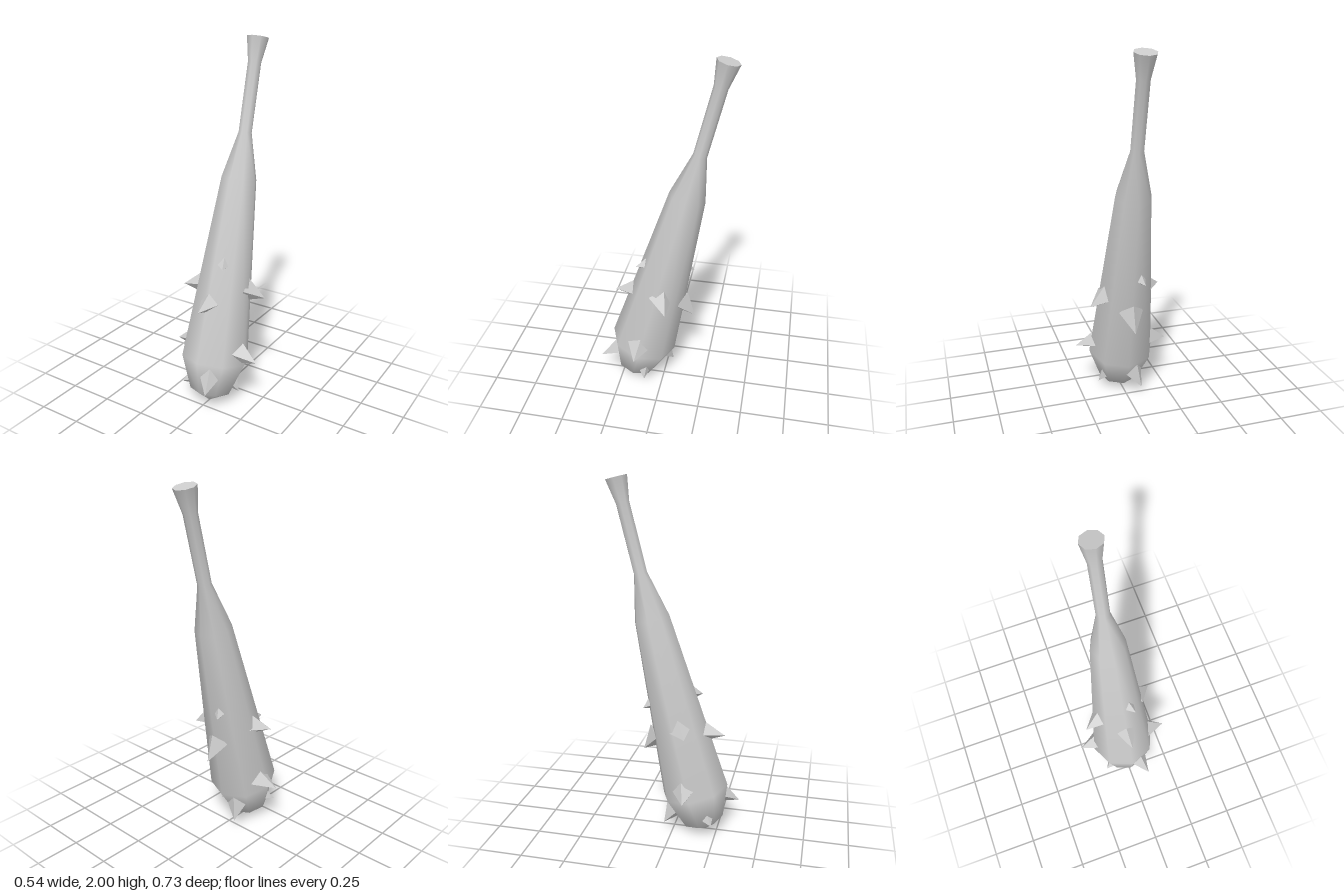
import * as THREE from 'three';

const TILT = -0.2435; // the club leans back
const material = new THREE.MeshStandardMaterial({ color: 0xcccccc });
const flatMaterial = new THREE.MeshStandardMaterial({ color: 0xcccccc, flatShading: true });
const clubAxis = new THREE.Vector3(0, 1, 0).applyAxisAngle(new THREE.Vector3(1, 0, 0), TILT);

// Four-sided spike; its base is sunk below the surface and its corners follow the club
function makeSpike(base, tip, radius) {
  const foot = new THREE.Vector3(...base);
  const point = new THREE.Vector3(...tip);
  const dir = point.clone().sub(foot);
  const length = dir.length();
  dir.normalize();
  const sink = 0.03;
  const height = length + sink;
  const geometry = new THREE.ConeGeometry(radius * height / length, height, 4);
  geometry.translate(0, -height / 2, 0); // apex at the origin
  const side = new THREE.Vector3().crossVectors(dir, clubAxis).normalize();
  const along = new THREE.Vector3().crossVectors(side, dir);
  const mesh = new THREE.Mesh(geometry, flatMaterial);
  mesh.quaternion.setFromRotationMatrix(new THREE.Matrix4().makeBasis(side, dir, along));
  mesh.position.copy(point);
  mesh.name = 'spike';
  return mesh;
}

export function createModel() {
  const model = new THREE.Group();
  model.name = 'spikedClub';

  // Eight-sided body, tapering from the heavy head to the grip and flared pommel
  const club = new THREE.Group();
  club.name = 'club';
  const profile = [
    [0, 0], [0.12, 0.07], [0.191, 0.262], [0.099, 1.287],
    [0.037, 1.538], [0.037, 1.913], [0.061, 2.045],
  ].map(([r, y]) => new THREE.Vector2(r, y));
  const body = new THREE.Mesh(new THREE.LatheGeometry(profile, 8), material);
  body.name = 'body';
  const cap = new THREE.Mesh(new THREE.CircleGeometry(0.061, 8).rotateX(-Math.PI / 2), material);
  cap.position.y = 2.045;
  cap.name = 'pommelCap';
  club.add(body, cap);
  club.rotation.x = TILT;
  club.position.z = 0.185;
  model.add(club);

  // Spikes: base centre, tip, base radius
  const spikes = new THREE.Group();
  spikes.name = 'spikes';
  [
    // front
    [[0, 0.615, 0.175], [0, 0.6, 0.287], 0.055],
    [[0.055, 0.215, 0.26], [0.092, 0.16, 0.365], 0.058],
    [[0.045, 0.822, 0.105], [0.066, 0.815, 0.147], 0.03],
    [[-0.105, 0.125, 0.212], [-0.147, 0.105, 0.24], 0.034],
    // left
    [[0.14, 0.645, -0.012], [0.221, 0.61, -0.047], 0.053],
    [[0.172, 0.32, 0.12], [0.27, 0.296, 0.125], 0.055],
    [[0.105, 0.1, 0.1], [0.143, 0.058, 0.095], 0.034],
    // right
    [[-0.135, 0.66, 0.062], [-0.222, 0.648, 0.1], 0.053],
    [[-0.17, 0.31, 0.09], [-0.27, 0.287, 0.1], 0.055],
    // back
    [[0, 0.555, -0.108], [0, 0.476, -0.18], 0.056],
    [[-0.045, 0.77, -0.128], [-0.06, 0.75, -0.165], 0.03],
    [[-0.05, 0.135, 0.01], [-0.08, 0.058, -0.045], 0.055],
  ].forEach(([base, tip, radius]) => spikes.add(makeSpike(base, tip, radius)));
  model.add(spikes);

  return model;
}
